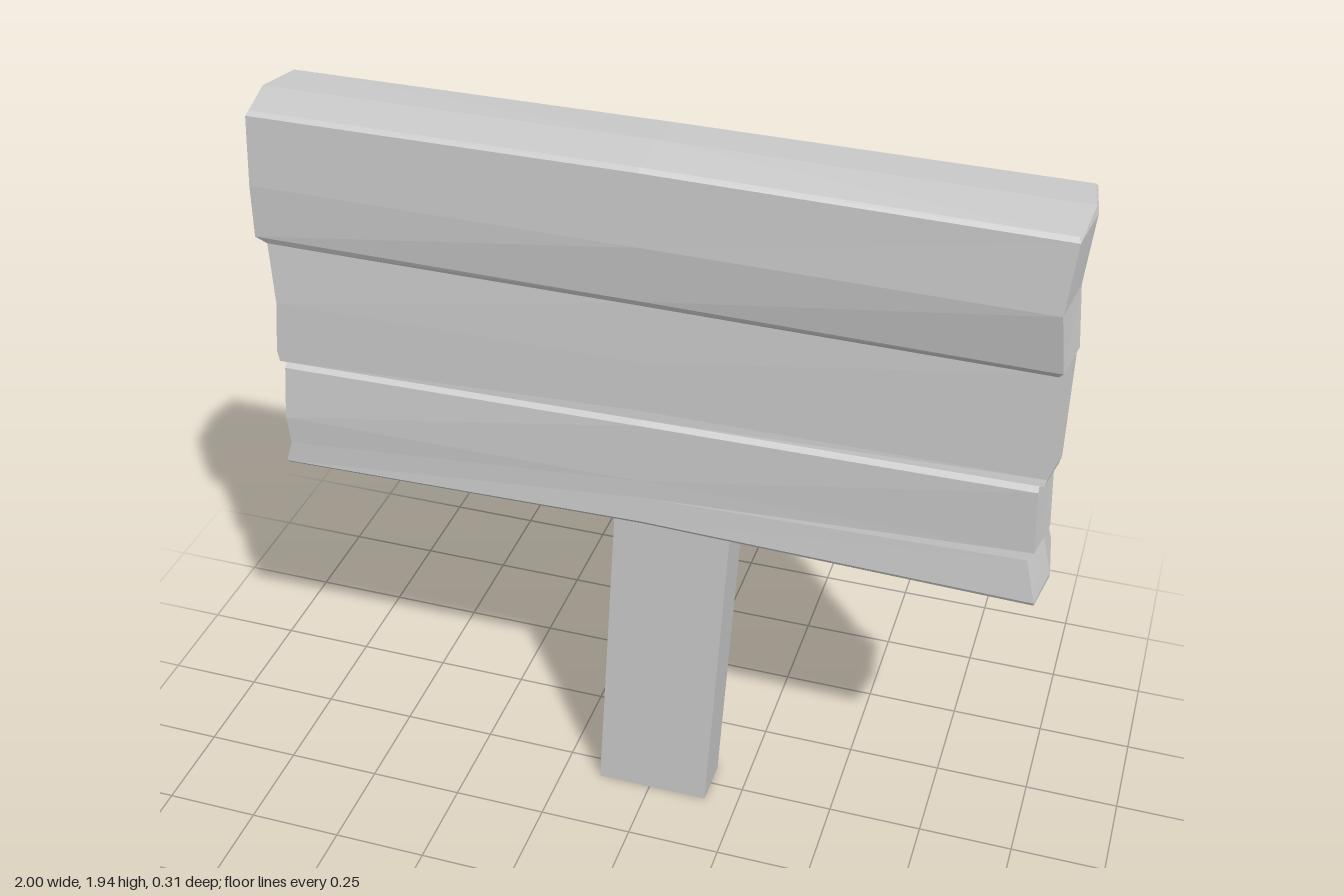
import * as THREE from 'three';

const material = new THREE.MeshStandardMaterial({ color: 0xcccccc, flatShading: true, side: THREE.DoubleSide });

// Horizontal sections, bottom to top, one list per plank:
// [y left, y right, x left, x right, front z left, front z right, back z left, back z right]
const planks = {
  bottomPlank: [
    [0.94, 0.935, -0.965, 0.98, 0.125, 0.13, -0.135, -0.13],
    [0.95, 0.945, -0.965, 0.98, 0.135, 0.135, -0.14, -0.135],
    [1.01, 1.06, -0.945, 0.95, 0.135, 0.125, -0.135, -0.13],
    [1.09, 1.08, -0.95, 0.965, 0.14, 0.12, -0.135, -0.13],
    [1.235, 1.255, -0.94, 0.955, 0.13, 0.125, -0.13, -0.13],
    [1.25, 1.268, -0.94, 0.955, 0.115, 0.115, -0.12, -0.12],
  ],
  middlePlank: [
    [1.25, 1.268, -0.955, 0.965, 0.125, 0.115, -0.125, -0.125],
    [1.28, 1.285, -0.96, 0.97, 0.125, 0.11, -0.125, -0.125],
    [1.42, 1.42, -0.945, 0.97, 0.125, 0.11, -0.125, -0.12],
    [1.585, 1.57, -0.955, 0.97, 0.115, 0.11, -0.11, -0.11],
  ],
  topPlank: [
    [1.58, 1.565, -0.955, 0.965, 0.115, 0.115, -0.115, -0.115],
    [1.6, 1.58, -0.98, 0.975, 0.125, 0.125, -0.13, -0.12],
    [1.74, 1.74, -0.975, 0.96, 0.13, 0.155, -0.155, -0.12],
    [1.92, 1.915, -0.965, 0.975, 0.125, 0.145, -0.135, -0.13],
    [1.93, 1.925, -0.96, 0.97, 0.115, 0.135, -0.125, -0.12],
  ],
};

// Lofts eight-sided sections into a closed plank; the ends bulge at mid depth.
function plank(name, sections, bottomBow, topBow) {
  const positions = [];
  const index = [];
  const last = sections.length - 1;
  sections.forEach(([yl, yr, xl, xr, fl, fr, bl, br], i) => {
    const bow = i < 2 ? bottomBow : i > last - 2 ? topBow : 0;
    const rise = i === 0 ? -0.006 : i === last ? 0.01 : 0;
    const yc = (yl + yr) / 2 + bow;
    positions.push(
      xl, yl, fl, 0, yc, (fl + fr) / 2 - 0.003, xr, yr, fr,
      xr + 0.018, yr + rise, 0,
      xr, yr, br, 0, yc, (bl + br) / 2 + 0.003, xl, yl, bl,
      xl - 0.02, yl + rise, 0,
    );
  });
  for (let i = 0; i < last; i++) {
    for (let j = 0; j < 8; j++) {
      const a = i * 8 + j, b = i * 8 + (j + 1) % 8;
      index.push(a, b, b + 8, a, b + 8, a + 8);
    }
  }
  // Ridged caps around a centre point
  [0, last].forEach((i) => {
    const s = sections[i];
    const top = i === last;
    const centre = positions.length / 3;
    positions.push(0, (s[0] + s[1]) / 2 + (top ? topBow + 0.01 : bottomBow - 0.006), 0);
    for (let j = 0; j < 8; j++) {
      const a = i * 8 + j, b = i * 8 + (j + 1) % 8;
      index.push(centre, ...(top ? [a, b] : [b, a]));
    }
  });
  const indexed = new THREE.BufferGeometry();
  indexed.setAttribute('position', new THREE.Float32BufferAttribute(positions, 3));
  indexed.setIndex(index);
  const geometry = indexed.toNonIndexed();
  geometry.computeVertexNormals();
  const mesh = new THREE.Mesh(geometry, material);
  mesh.name = name;
  return mesh;
}

// Leaning post, open at the foot
function post() {
  const height = 0.97;
  const box = new THREE.BoxGeometry(0.304, height, 0.13).translate(0.0075, height / 2, 0);
  const faces = Array.from(box.index.array);
  faces.splice(18, 6); // remove the bottom face
  box.setIndex(faces);
  const p = box.attributes.position;
  for (let i = 0; i < p.count; i++) p.setX(i, p.getX(i) + p.getY(i) * 0.058);
  box.computeVertexNormals();
  const mesh = new THREE.Mesh(box, material);
  mesh.name = 'post';
  return mesh;
}

export function createModel() {
  const model = new THREE.Group();
  model.name = 'woodenSign';
  const board = new THREE.Group();
  board.name = 'board';
  board.add(
    plank('bottomPlank', planks.bottomPlank, 0.018, 0),
    plank('middlePlank', planks.middlePlank, 0, 0),
    plank('topPlank', planks.topPlank, 0, 0.005),
  );
  model.add(board, post());
  return model;
}
